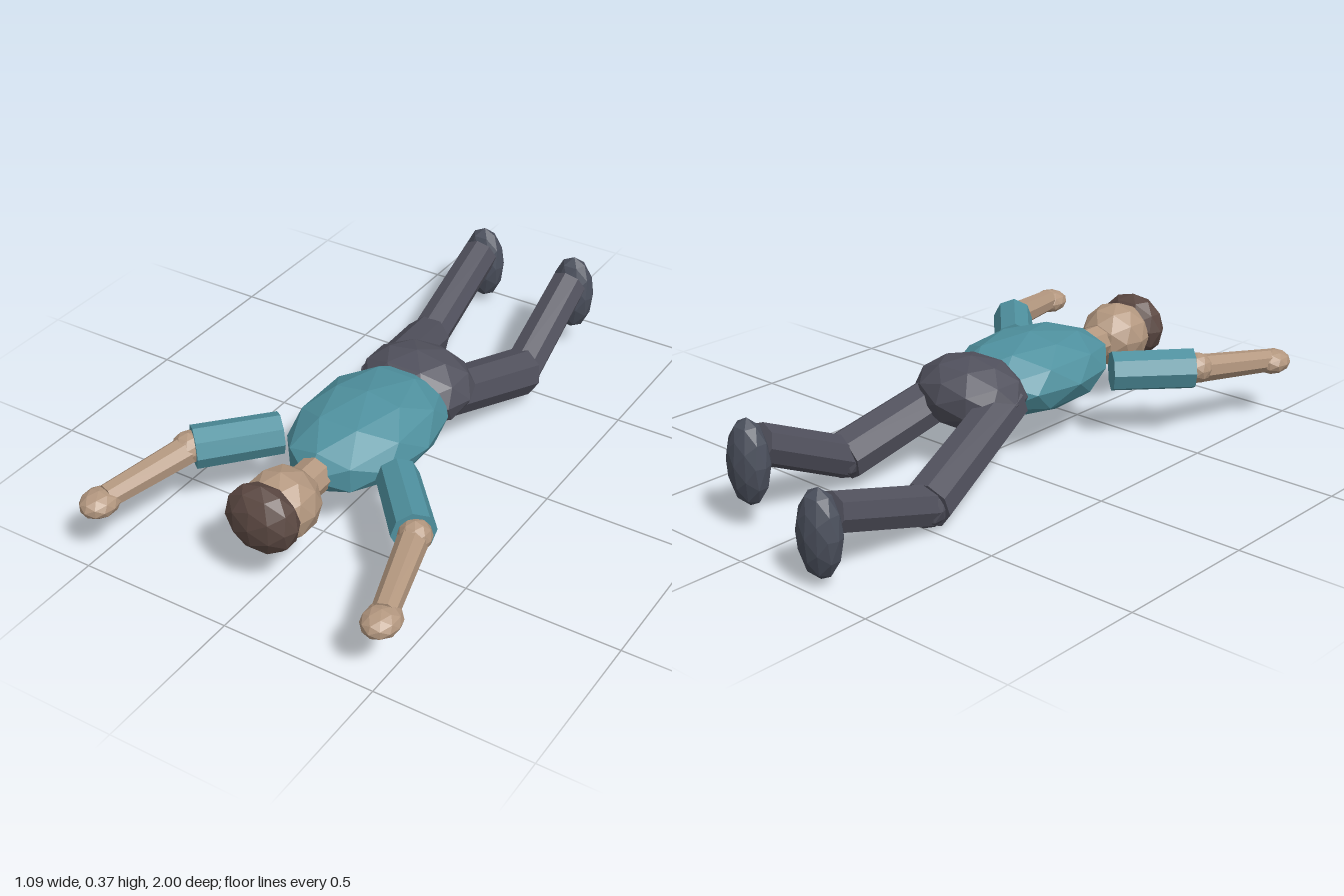
import * as THREE from 'three';

const flat = (name, color) => {
  const m = new THREE.MeshStandardMaterial({ color, flatShading: true });
  m.name = name;
  return m;
};

export function createModel() {
  const shirt = flat('teal shirt', 0x4f919f);
  const trousers = flat('grey trousers', 0x51515d);
  const shoe = flat('slate shoe', 0x4b505d);
  const skin = flat('skin', 0xb3977f);
  const hair = flat('brown hair', 0x5b4842);
  const eye = flat('dark eye', 0x2a2422);

  const model = new THREE.Group();
  model.name = 'lyingFigure';

  // Faceted ellipsoid
  const blob = (name, mat, pos, radii, detail = 1) => {
    const mesh = new THREE.Mesh(new THREE.IcosahedronGeometry(1, detail).scale(...radii), mat);
    mesh.position.set(...pos);
    mesh.name = name;
    model.add(mesh);
  };

  // Eight-sided limb from point a to point b
  const limb = (name, mat, a, b, ra, rb) => {
    const start = new THREE.Vector3(...a);
    const end = new THREE.Vector3(...b);
    const dir = end.clone().sub(start);
    const mesh = new THREE.Mesh(new THREE.CylinderGeometry(rb, ra, dir.length(), 8), mat);
    mesh.position.copy(start).add(end).multiplyScalar(0.5);
    mesh.quaternion.setFromUnitVectors(new THREE.Vector3(0, 1, 0), dir.normalize());
    mesh.name = name;
    model.add(mesh);
  };

  // Body, lying face down with the head towards +z
  blob('torso', shirt, [0, 0.243, 0.245], [0.215, 0.13, 0.325]);
  blob('hips', trousers, [0, 0.245, -0.04], [0.195, 0.12, 0.16]);
  limb('neck', skin, [0, 0.243, 0.46], [0, 0.243, 0.62], 0.058, 0.058);
  blob('head', skin, [0, 0.245, 0.7], [0.115, 0.112, 0.12]);
  blob('hair', hair, [0, 0.256, 0.795], [0.122, 0.112, 0.075]);

  // Eyes and arms, mirrored
  for (const [side, s] of [['left', 1], ['right', -1]]) {
    blob(side + 'Eye', eye, [s * 0.042, 0.148, 0.735], [0.014, 0.012, 0.014]);
    limb(side + 'Sleeve', shirt, [s * 0.21, 0.241, 0.41], [s * 0.39, 0.241, 0.61], 0.066, 0.068);
    blob(side + 'Elbow', skin, [s * 0.4, 0.243, 0.62], [0.052, 0.052, 0.052]);
    limb(side + 'Forearm', skin, [s * 0.395, 0.24, 0.61], [s * 0.482, 0.21, 0.91], 0.047, 0.039);
    blob(side + 'Hand', skin, [s * 0.488, 0.203, 0.932], [0.058, 0.041, 0.068]);
  }

  // Legs, each bent differently: hip, knee, ankle, foot
  const legs = [
    ['left', [0.088, 0.24, 0], [0.155, 0.107, -0.45], [0.143, 0.265, -0.8], [0.143, 0.217, -0.835]],
    ['right', [-0.115, 0.228, 0], [-0.239, 0.08, -0.495], [-0.268, 0.21, -0.91], [-0.27, 0.16, -0.943]],
  ];
  for (const [side, hip, knee, ankle, foot] of legs) {
    limb(side + 'Thigh', trousers, hip, knee, 0.075, 0.08);
    blob(side + 'Knee', trousers, knee, [0.068, 0.068, 0.068]);
    limb(side + 'Shin', trousers, knee, ankle, 0.066, 0.063);
    blob(side + 'Foot', shoe, foot, [0.077, 0.138, 0.057]);
  }

  return model;
}
